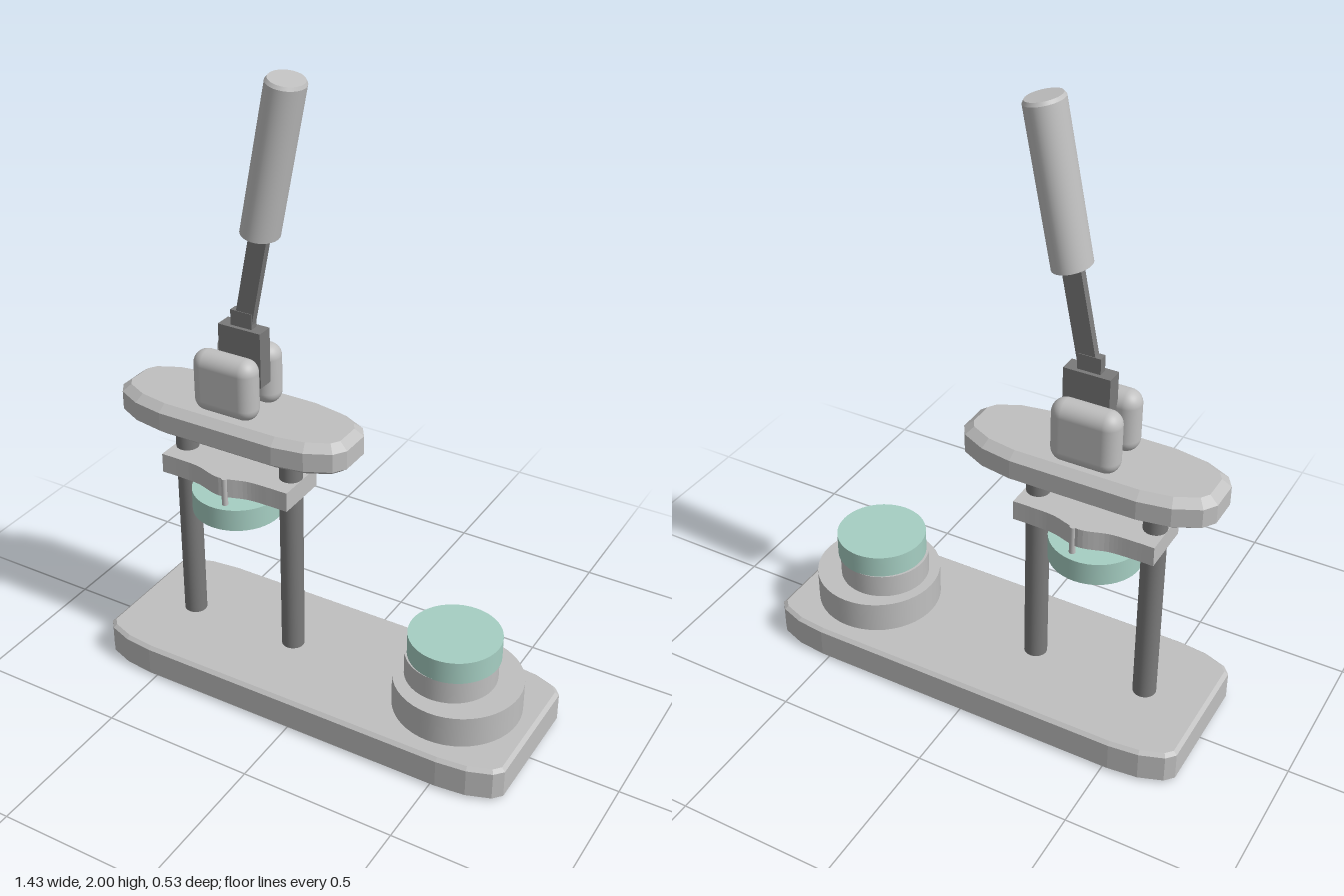
import * as THREE from 'three';
import { RoundedBoxGeometry } from 'three/addons/geometries/RoundedBoxGeometry.js';

export function createModel() {
  const model = new THREE.Group();
  const paint = (name, color) => {
    const m = new THREE.MeshStandardMaterial({ color });
    m.name = name;
    return m;
  };
  const lightGrey = paint('light grey', 0xc0c0c0);
  const darkGrey = paint('dark grey', 0x7a7a7a);
  const mint = paint('mint green', 0xa6cfc3);

  const add = (name, geometry, material, x = 0, y = 0, z = 0, parent = model) => {
    const mesh = new THREE.Mesh(geometry, material);
    mesh.name = name;
    mesh.position.set(x, y, z);
    parent.add(mesh);
    return mesh;
  };
  const cylinder = (name, r, y0, y1, x, z, material, sides = 48) =>
    add(name, new THREE.CylinderGeometry(r, r, y1 - y0, sides), material, x, (y0 + y1) / 2, z);

  // Upright slab from a plan outline, with bevelled top and bottom edges
  const slab = (name, outline, x, y0, y1, bevel, bevelHeight) => {
    const geometry = new THREE.ExtrudeGeometry(new THREE.Shape(outline), {
      depth: y1 - y0 - 2 * bevelHeight, bevelEnabled: bevel > 0,
      bevelSize: bevel, bevelOffset: -bevel, bevelThickness: bevelHeight, bevelSegments: 1,
    });
    geometry.rotateX(-Math.PI / 2);
    return add(name, geometry, lightGrey, x, y0 + bevelHeight, 0);
  };

  // Mirror one quarter of an outline into a closed counter-clockwise loop
  const mirrored = (quarter) => {
    const back = [...quarter].reverse();
    return [
      ...quarter, ...back.map(([x, z]) => [-x, z]),
      ...quarter.map(([x, z]) => [-x, -z]), ...back.map(([x, z]) => [x, -z]),
    ].map(([x, z]) => new THREE.Vector2(x, z));
  };

  // Base and top plate
  slab('base', mirrored([[0.715, 0.2], [0.69, 0.228], [0.615, 0.255], [0.52, 0.265]]),
    0, 0, 0.112, 0.012, 0.01);
  slab('topPlate', mirrored([[0.404, 0.05], [0.378, 0.09], [0.3, 0.128], [0.2, 0.145]]),
    -0.312, 0.845, 0.95, 0.028, 0.022);

  // Guide posts
  for (const x of [-0.516, -0.133]) cylinder('guidePost', 0.037, 0.1, 0.838, x, 0, darkGrey, 32);

  // Sliding carriage: wide at the ends and middle, waisted between
  const edge = new THREE.SplineCurve([
    [0.229, 0.088], [0.165, 0.088], [0.09, 0.092], [0, 0.115],
    [-0.09, 0.092], [-0.165, 0.088], [-0.229, 0.088],
  ].map(([x, z]) => new THREE.Vector2(x, z))).getPoints(36);
  const carriage = [...edge, ...edge.map((p) => new THREE.Vector2(-p.x, -p.y))];
  slab('carriage', carriage, -0.324, 0.677, 0.742, 0, 0);

  // Press disc hung from two thin rods
  for (const z of [-0.11, 0.11]) cylinder('hangerRod', 0.01, 0.64, 0.742, -0.305, z, lightGrey, 16);
  cylinder('pressDisc', 0.145, 0.574, 0.648, -0.33, 0, mint);

  // Die stack
  cylinder('stackFoot', 0.203, 0.11, 0.217, 0.46, 0, lightGrey);
  cylinder('stackMiddle', 0.145, 0.215, 0.296, 0.435, 0, lightGrey);
  cylinder('stackTop', 0.145, 0.295, 0.37, 0.443, 0, mint);

  // Rounded hinge cheeks on the top plate
  for (const side of [-1, 1]) {
    add('hingeCheek', new RoundedBoxGeometry(0.216, 0.2, 0.087, 6, 0.043), lightGrey,
      -0.318, 1.041, -0.005 + side * 0.064);
  }

  // Lever pivot block and neck
  add('pivotBlock', new THREE.BoxGeometry(0.147, 0.18, 0.054), darkGrey, -0.294, 1.125, -0.005);
  add('leverNeck', new THREE.BoxGeometry(0.073, 0.07, 0.028), darkGrey, -0.294, 1.23, -0.005);

  // Leaning lever with an oval grip
  const lever = new THREE.Group();
  lever.name = 'lever';
  lever.position.set(-0.2275, 1.524, -0.005);
  lever.rotation.z = -0.203;
  model.add(lever);
  add('leverArm', new THREE.BoxGeometry(0.06, 0.34, 0.024), darkGrey, 0, -0.13, 0, lever);
  const grip = add('grip', new THREE.CylinderGeometry(1, 1, 0.463, 40), lightGrey, 0, 0.2315, 0, lever);
  grip.scale.set(0.057, 1, 0.067);
  const cap = add('gripEnd', new THREE.CylinderGeometry(0.9, 1, 0.01, 40), lightGrey, 0, 0.468, 0, lever);
  cap.scale.set(0.057, 1, 0.067);

  return model;
}
